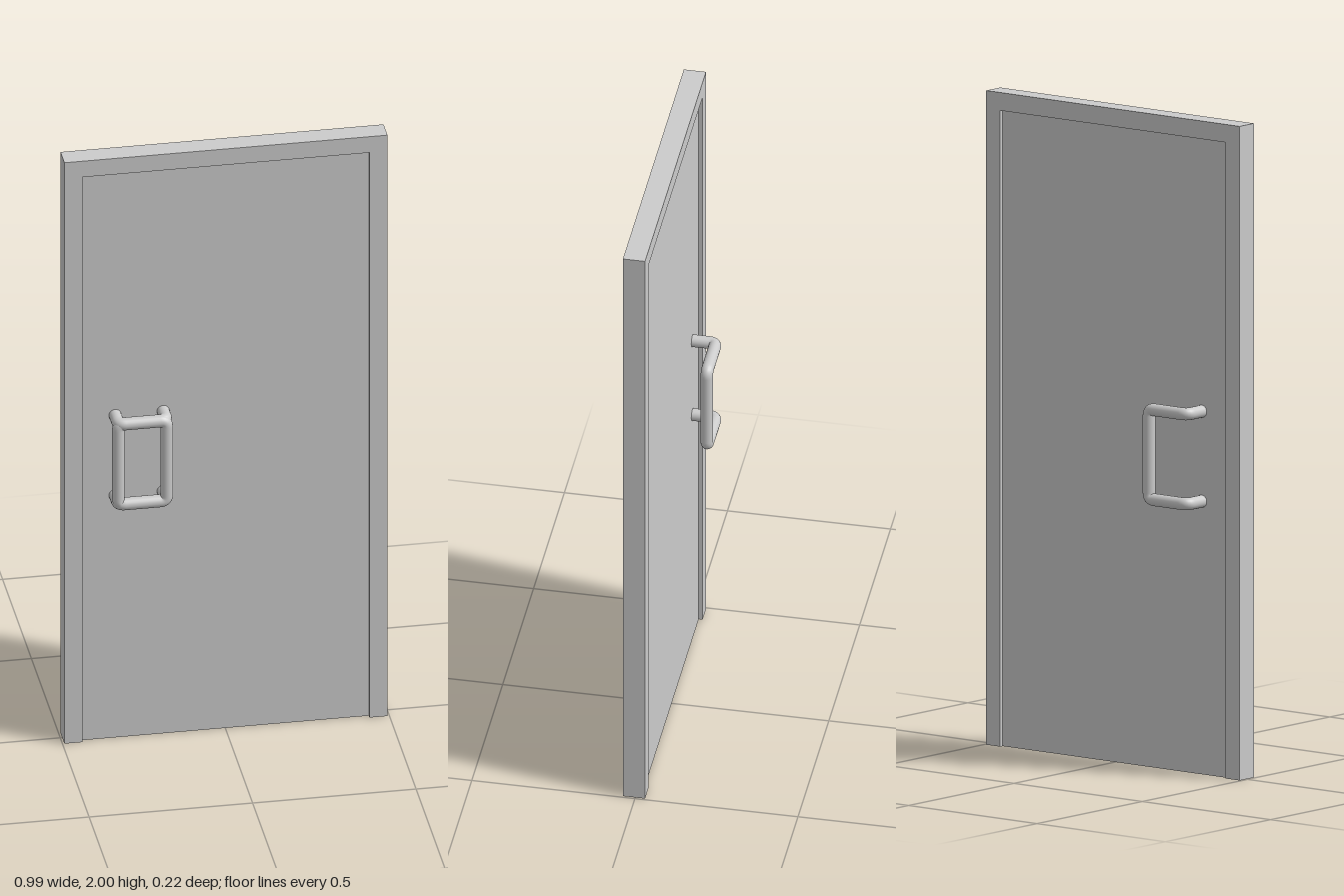
import * as THREE from 'three';

const grey = new THREE.MeshStandardMaterial({ color: 0xcccccc });
const LEFT = 0.494, TOP = 2, RAIL = 0.055;   // frame half width, height, rail width
const BACK = -0.03, FRONT = 0.038;           // frame faces in z
const RECESS = 0.012;

function add(parent, name, geometry) {
  const mesh = new THREE.Mesh(geometry, grey);
  mesh.name = name;
  parent.add(mesh);
  return mesh;
}

// Straight runs joined by small rounded corners
function roundedPath(points, r) {
  const path = new THREE.CurvePath();
  let from = points[0];
  for (let i = 1; i < points.length - 1; i++) {
    const p = points[i];
    const a = p.clone().add(points[i - 1].clone().sub(p).setLength(r));
    const b = p.clone().add(points[i + 1].clone().sub(p).setLength(r));
    path.add(new THREE.LineCurve3(from, a));
    path.add(new THREE.QuadraticBezierCurve3(a, p, b));
    from = b;
  }
  path.add(new THREE.LineCurve3(from, points[points.length - 1]));
  return path;
}

// Pull handle: legs leave the door at legX, then bend sideways to a grip at gripX
function handle(parent, name, legX, gripX, doorZ, gripZ) {
  const low = 0.835, high = 1.11;
  const v = (x, y, z) => new THREE.Vector3(x, y, z);
  const path = roundedPath([
    v(legX, low, doorZ), v(legX, low, gripZ), v(gripX, low, gripZ),
    v(gripX, high, gripZ), v(legX, high, gripZ), v(legX, high, doorZ),
  ], 0.02);
  add(parent, name, new THREE.TubeGeometry(path, 160, 0.019, 20));
}

export function createModel() {
  const door = new THREE.Group();
  door.name = 'door';

  // Frame: two posts and a top rail, open at the floor
  const inner = LEFT - RAIL;
  const outline = new THREE.Shape([
    [-LEFT, 0], [-inner, 0], [-inner, TOP - RAIL], [inner, TOP - RAIL],
    [inner, 0], [LEFT, 0], [LEFT, TOP], [-LEFT, TOP],
  ].map(([x, y]) => new THREE.Vector2(x, y)));
  add(door, 'frame', new THREE.ExtrudeGeometry(outline, { depth: FRONT - BACK, bevelEnabled: false }))
    .position.z = BACK;

  // Panel, recessed on both faces
  const panel = add(door, 'panel',
    new THREE.BoxGeometry(inner * 2, TOP - RAIL, FRONT - BACK - 2 * RECESS));
  panel.position.set(0, (TOP - RAIL) / 2, (FRONT + BACK) / 2);

  // Back pull, and a pair of opposed front pulls forming a closed loop
  handle(door, 'backHandle', -0.337, -0.19, -0.01, -0.09);
  handle(door, 'frontHandle', -0.337, -0.19, 0.015, 0.087);
  handle(door, 'frontHandleMirrored', -0.19, -0.337, 0.015, 0.084);

  return door;
}
